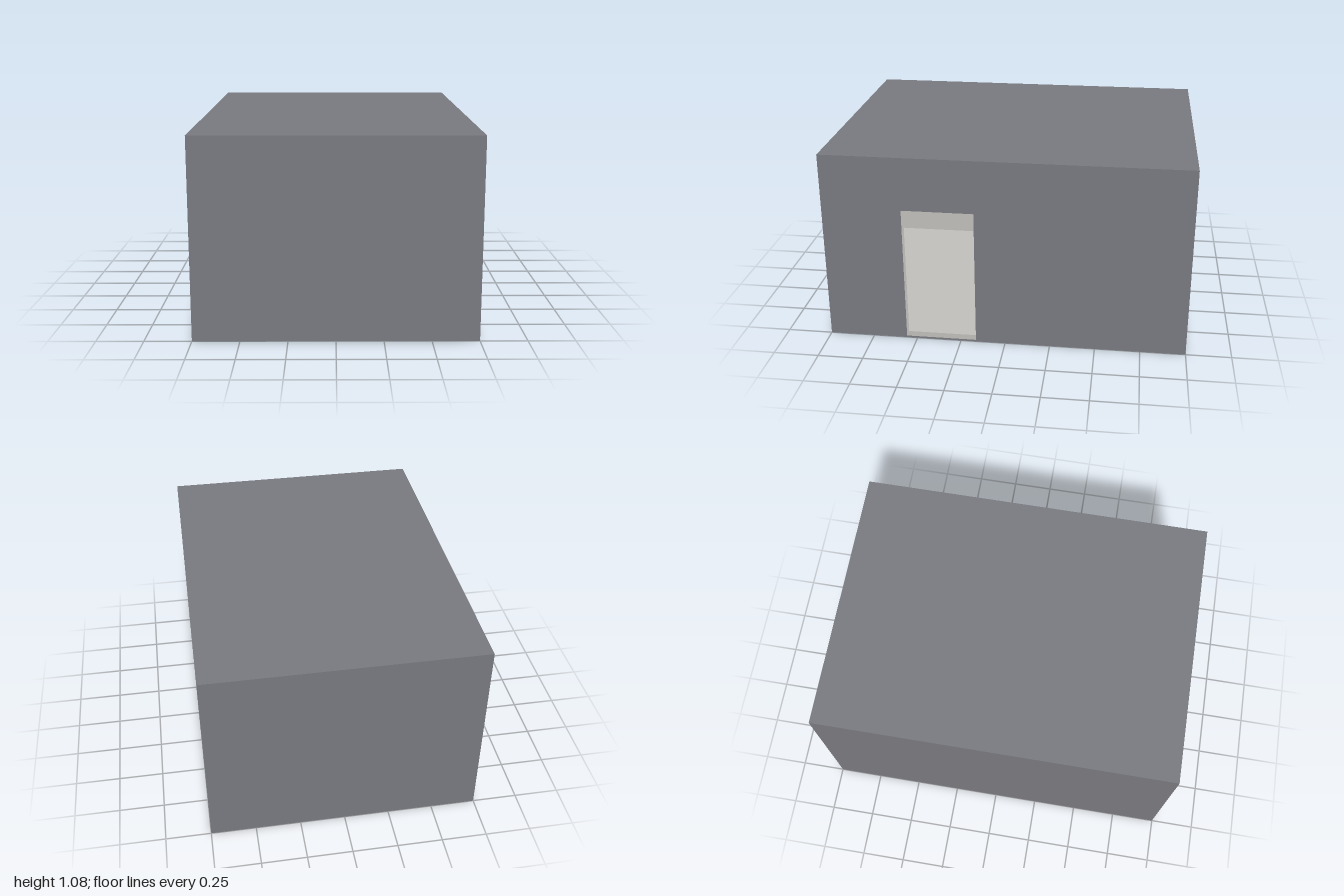
import * as THREE from 'three';

const exteriorGrey = new THREE.MeshStandardMaterial({ color: 0x78797f });
exteriorGrey.name = 'exterior grey';
const interiorBeige = new THREE.MeshStandardMaterial({ color: 0xc0beba });
interiorBeige.name = 'interior beige';

const OUTER = { x: 0.75, y: 0.54, z: 1 }; // half sizes
const INNER = { x: 0.7, y: 0.53, z: 0.95 };
const MID = 0.54; // height of the room's centre
const DOOR = { back: 0.165, front: 0.56, bottom: 0.01, top: 0.78 };
const Q = Math.PI / 2;

function add(group, name, geometry, material) {
  const mesh = new THREE.Mesh(geometry, material);
  mesh.name = name;
  group.add(mesh);
  return mesh;
}

// Wall with a doorway, drawn in its own plane; s mirrors it along z
function doorWall(half, s) {
  const shape = new THREE.Shape([
    new THREE.Vector2(-half.z, -half.y), new THREE.Vector2(half.z, -half.y),
    new THREE.Vector2(half.z, half.y), new THREE.Vector2(-half.z, half.y),
  ]);
  const a = s * DOOR.back, b = s * DOOR.front;
  const low = DOOR.bottom - MID, high = DOOR.top - MID;
  shape.holes.push(new THREE.Path([
    new THREE.Vector2(a, low), new THREE.Vector2(a, high),
    new THREE.Vector2(b, high), new THREE.Vector2(b, low),
  ]));
  return new THREE.ShapeGeometry(shape);
}

// Six panels facing outward, or inward when dir is -1
function shell(name, half, dir, material) {
  const group = new THREE.Group();
  group.name = name;
  group.position.y = MID;
  const plane = (w, h) => new THREE.PlaneGeometry(2 * w, 2 * h);
  const left = add(group, 'doorWall', doorWall(half, -dir), material);
  left.rotation.y = dir * Q;
  left.position.x = half.x;
  const right = add(group, 'plainSideWall', plane(half.z, half.y), material);
  right.rotation.y = -dir * Q;
  right.position.x = -half.x;
  for (const s of [1, -1]) {
    const end = add(group, s > 0 ? 'frontWall' : 'backWall', plane(half.x, half.y), material);
    end.rotation.y = s * dir > 0 ? 0 : Math.PI;
    end.position.z = s * half.z;
    const flat = add(group, s > 0 ? 'roof' : 'floor', plane(half.x, half.z), material);
    flat.rotation.x = -s * dir * Q;
    flat.position.y = s * half.y;
  }
  return group;
}

// Jambs, head and sill lining the doorway, shaded together with the door wall
function doorReveal() {
  const group = new THREE.Group();
  group.name = 'doorReveal';
  const depth = OUTER.x - INNER.x, x = (OUTER.x + INNER.x) / 2;
  const width = DOOR.front - DOOR.back, height = DOOR.top - DOOR.bottom;
  const zMid = (DOOR.front + DOOR.back) / 2, yMid = (DOOR.top + DOOR.bottom) / 2;
  const piece = (name, geometry, y, z) => {
    geometry.translate(x, y, z);
    const normals = geometry.attributes.normal;
    for (let i = 0; i < normals.count; i++) normals.setXYZ(i, 1, 0, 0);
    add(group, name, geometry, interiorBeige);
  };
  piece('frontJamb', new THREE.PlaneGeometry(depth, height).rotateY(Math.PI), yMid, DOOR.front);
  piece('backJamb', new THREE.PlaneGeometry(depth, height), yMid, DOOR.back);
  piece('doorHead', new THREE.PlaneGeometry(depth, width).rotateX(Q), DOOR.top, zMid);
  piece('doorSill', new THREE.PlaneGeometry(depth, width).rotateX(-Q), DOOR.bottom, zMid);
  return group;
}

export function createModel() {
  const room = new THREE.Group();
  room.name = 'room';
  room.add(
    shell('exterior', OUTER, 1, exteriorGrey),
    shell('interior', INNER, -1, interiorBeige),
    doorReveal(),
  );
  return room;
}
